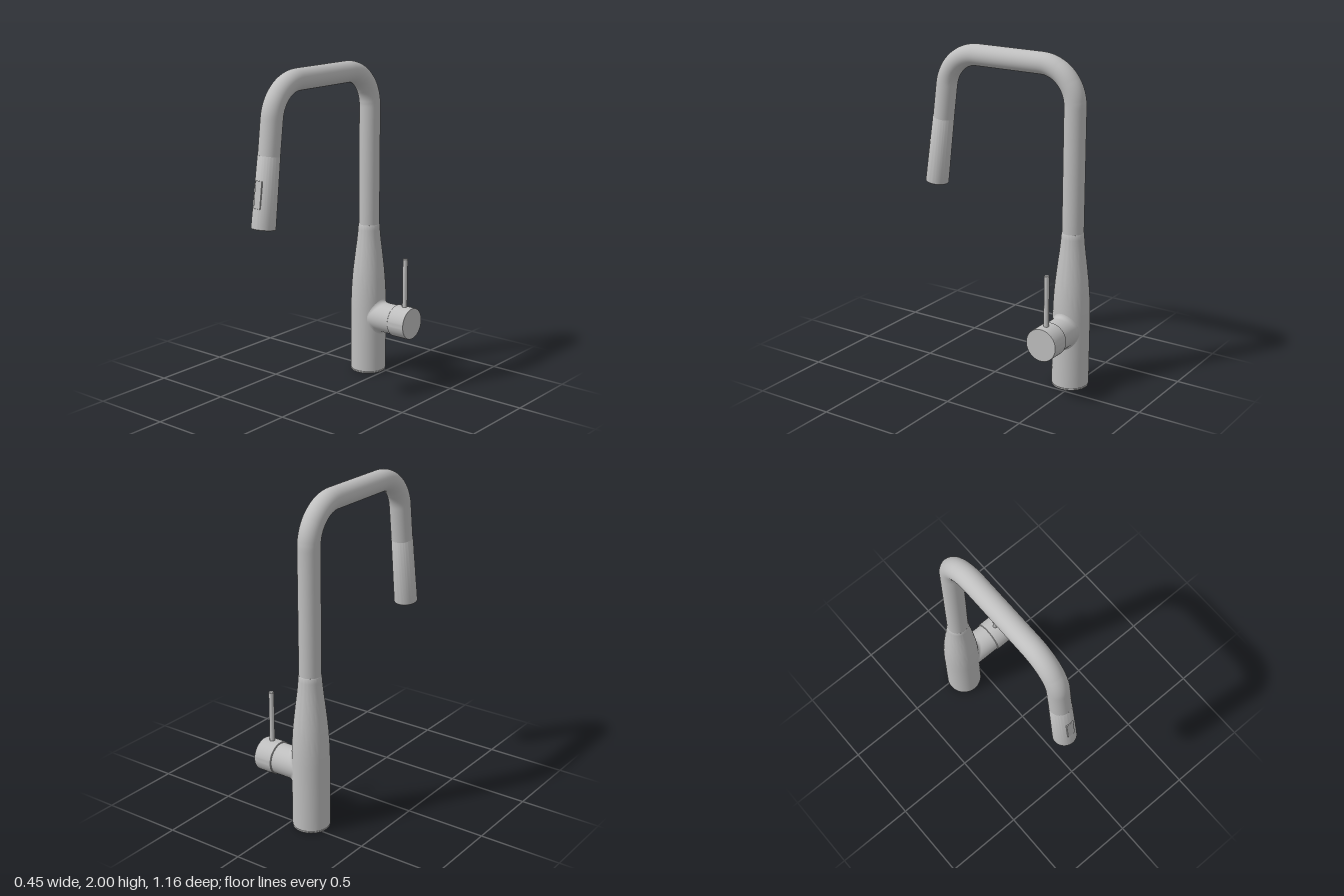
import * as THREE from 'three';
import { toCreasedNormals } from 'three/addons/utils/BufferGeometryUtils.js';
import { RoundedBoxGeometry } from 'three/addons/geometries/RoundedBoxGeometry.js';
import { ParametricGeometry } from 'three/addons/geometries/ParametricGeometry.js';

const brushedSteel = new THREE.MeshStandardMaterial({ color: 0xbfbfbf });

const X = -0.118, Z = -0.467;          // axis of the body
const PIPE = 0.065, BODY = 0.112;      // radii
const STUB = 0.0935, HANDLE_Y = 0.37;
const TILT = THREE.MathUtils.degToRad(7.5);

function add(parent, name, geometry) {
  const mesh = new THREE.Mesh(geometry, brushedSteel);
  mesh.name = name;
  parent.add(mesh);
  return mesh;
}

function lathe(points, segments = 64) {
  const profile = points.map(([r, y]) => new THREE.Vector2(r, y));
  return toCreasedNormals(new THREE.LatheGeometry(profile, segments), 0.5);
}

// Spout centreline: riser, bend, level run, bend, tilted drop
function spoutPath() {
  const bend = 0.225, y = 1.71, backZ = Z + bend, frontZ = 0.2045;
  const at = (z, h) => new THREE.Vector3(X, h, z);
  const path = new THREE.CurvePath();
  const arc = (cz, from, to) => {
    const pts = [];
    for (let i = 0; i <= 20; i++) {
      const a = from + (to - from) * i / 20;
      pts.push(at(cz + bend * Math.cos(a), y + bend * Math.sin(a)));
    }
    for (let i = 0; i < 20; i++) path.add(new THREE.LineCurve3(pts[i], pts[i + 1]));
    return pts;
  };
  path.add(new THREE.LineCurve3(at(Z, 0.95), at(Z, y)));
  const back = arc(backZ, Math.PI, Math.PI / 2);
  path.add(new THREE.LineCurve3(back[20], at(frontZ, y + bend)));
  const front = arc(frontZ, Math.PI / 2, TILT);
  path.add(new THREE.LineCurve3(front[20], at(0.455, 1.525)));
  return path;
}

// Side stub with a fillet that follows the round body
function stubGeometry() {
  const surface = (u, v, target) => {
    const a = -u * Math.PI * 2;
    const s = Math.sin(a), c = Math.cos(a);
    const f = 0.012 + 0.024 * s * s;
    const bodyX = (rho) => Math.sqrt((BODY - 0.003) ** 2 - (rho * c) ** 2);
    const corner = bodyX(STUB);
    let x, r;
    if (v <= 0.8) {
      const t = v / 0.8, k = 1 - t;
      x = k * k * bodyX(STUB + f) + 2 * k * t * corner + t * t * (corner + f);
      r = STUB + f * k * k;
    } else {
      x = THREE.MathUtils.lerp(corner + f, 0.222, (v - 0.8) / 0.2);
      r = STUB;
    }
    target.set(x, r * s, r * c);
  };
  return new ParametricGeometry(surface, 72, 20);
}

export function createModel() {
  const model = new THREE.Group();
  model.name = 'kitchenTap';

  // Body with a thin foot ring and a slender neck
  const body = new THREE.Group();
  body.name = 'body';
  body.position.set(X, 0, Z);
  model.add(body);
  add(body, 'footRing', lathe([[0, 0], [0.107, 0], [0.11, 0.003], [0.11, 0.011], [0.106, 0.013]]));
  add(body, 'bodyShell', lathe([
    [0.1, 0.013], [0.11, 0.013], [BODY, 0.016], [BODY, 0.42], [0.1105, 0.49], [0.108, 0.55],
    [0.104, 0.61], [0.0985, 0.67], [0.0915, 0.73], [0.0845, 0.79], [0.078, 0.84],
    [0.0725, 0.89], [0.069, 0.93], [0.067, 0.958], [0.065, 0.962], [0.062, 0.962],
  ]));

  // Spout pipe
  add(model, 'spoutPipe', new THREE.TubeGeometry(spoutPath(), 140, PIPE, 40, false));

  // Pull-out spray head, measured up from its outlet
  const head = new THREE.Group();
  head.name = 'sprayHead';
  head.position.set(X, 1.115, 0.51);
  head.rotation.x = -TILT;
  model.add(head);
  add(head, 'sprayShell', lathe([
    [0, 0.006], [0.06, 0.006], [0.062, 0], [0.069, 0], [0.0715, 0.003],
    [0.0715, 0.02], [0.066, 0.414], [0.064, 0.418], [0.058, 0.418],
  ]));
  add(head, 'sprayButton', new RoundedBoxGeometry(0.05, 0.16, 0.02, 3, 0.004))
    .position.set(0, 0.198, 0.0608);

  // Handle stub, turning cap and lever
  const handle = new THREE.Group();
  handle.name = 'handle';
  handle.position.set(X, HANDLE_Y, Z);
  model.add(handle);
  add(handle, 'handleStub', stubGeometry());
  const cap = add(handle, 'handleCap', lathe([
    [0.085, 0], [0.097, 0], [0.1, 0.003], [0.1, 0.118], [0.098, 0.121], [0, 0.121],
  ]));
  cap.rotation.z = -Math.PI / 2;
  cap.position.x = 0.222;
  add(handle, 'lever', lathe([
    [0.0155, 0.09], [0.0155, 0.407], [0.0135, 0.41], [0, 0.41],
  ], 24)).position.x = 0.285;

  return model;
}
